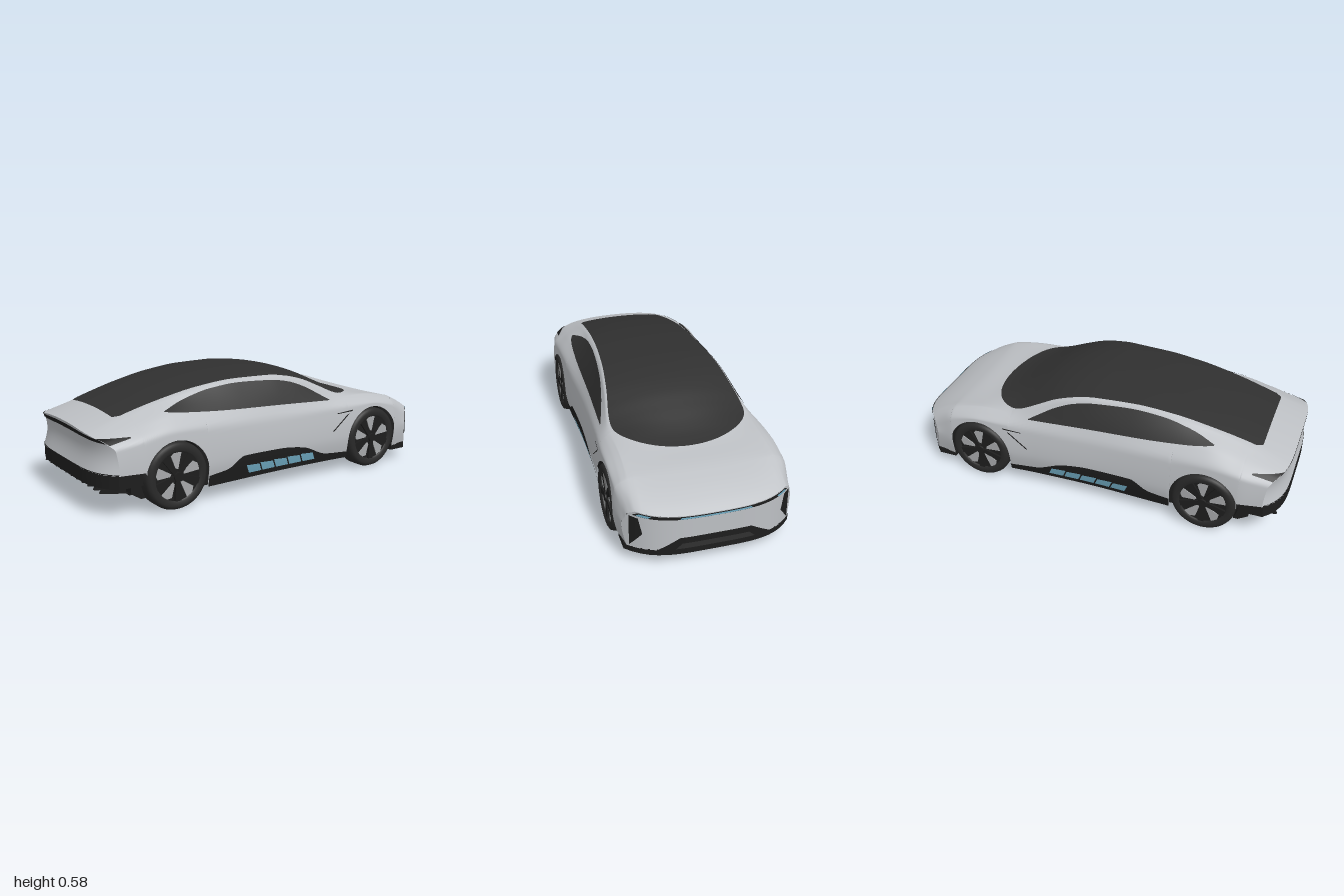
import * as THREE from 'three';

const mat = (name, color) => new THREE.MeshStandardMaterial({ name, color, side: THREE.DoubleSide });
const paint = mat('silver paint', 0xbdc0c4);
const glass = mat('dark glass', 0x303030);
const trim = mat('black trim', 0x1d1d1d);
const rubber = mat('tyre rubber', 0x292929);
const blue = mat('pale blue', 0x70aac2);
const alloy = mat('wheel alloy', 0xa6a8aa);

const lerp = THREE.MathUtils.lerp;

// Smooth interpolation through [x, y] keys without overshoot
function interp(k, x) {
  const n = k.length;
  if (x <= k[0][0]) return k[0][1];
  if (x >= k[n - 1][0]) return k[n - 1][1];
  let i = 0;
  while (x > k[i + 1][0]) i++;
  const slope = j => (k[j + 1][1] - k[j][1]) / (k[j + 1][0] - k[j][0]);
  const tangent = j => {
    if (j === 0) return slope(0);
    if (j === n - 1) return slope(n - 2);
    const a = slope(j - 1), b = slope(j);
    return a * b <= 0 ? 0 : 2 * a * b / (a + b);
  };
  const h = k[i + 1][0] - k[i][0], t = (x - k[i][0]) / h, t2 = t * t, t3 = t2 * t;
  return (2 * t3 - 3 * t2 + 1) * k[i][1] + (t3 - 2 * t2 + t) * h * tangent(i)
    + (3 * t2 - 2 * t3) * k[i + 1][1] + (t3 - t2) * h * tangent(i + 1);
}

// Grid surface from fn(u, v) -> [x, y, z]
function surface(fn, nu, nv) {
  const pos = [], idx = [];
  for (let i = 0; i <= nu; i++) for (let j = 0; j <= nv; j++) pos.push(...fn(i / nu, j / nv));
  for (let i = 0; i < nu; i++) for (let j = 0; j < nv; j++) {
    const a = i * (nv + 1) + j, b = a + nv + 1;
    idx.push(a, b, a + 1, b, b + 1, a + 1);
  }
  const g = new THREE.BufferGeometry();
  g.setAttribute('position', new THREE.Float32BufferAttribute(pos, 3));
  g.setIndex(idx);
  g.computeVertexNormals();
  return g;
}

// Lengthwise curves of the body
const topY = [[-1, .408], [-.85, .452], [-.6, .52], [-.4, .557], [-.2, .575], [0, .579], [.1, .571], [.2, .552], [.3, .52],
  [.4, .475], [.5, .428], [.56, .405], [.63, .387], [.75, .37], [.85, .34], [.95, .295], [1, .265]];
const edgeY = [[-1, .388], [-.85, .435], [-.6, .502], [-.4, .54], [-.2, .557], [0, .555], [.1, .542], [.2, .515], [.3, .47],
  [.4, .425], [.46, .41], [.6, .402], [.75, .378], [.85, .348], [.95, .31], [1, .287]];
const edgeZ = [[-1, .27], [-.85, .25], [-.6, .262], [-.2, .282], [0, .298], [.2, .322], [.4, .35], [.6, .35], [1, .36]];
const beltY = [[-1, .368], [-.8, .405], [-.6, .44], [-.4, .432], [0, .415], [.32, .4], [.46, .393], [.6, .385], [.8, .35], [1, .262]];
const beltZ = [[-1, .35], [-.6, .362], [0, .368], [.32, .378], [.6, .385], [1, .392]];
const shoulderY = [[-1, .33], [-.6, .37], [0, .345], [.6, .355], [.8, .315], [1, .235]];
const midZ = [[-1, .41], [-.77, .431], [-.4, .421], [0, .41], [.3, .417], [.55, .431], [.75, .43], [1, .412]];

const AXLES = [-.615, .618], WHEEL_R = .165, ARCH_R = .174;

// Rounds the nose and tail in plan
function bent(s, y, z) {
  const f = Math.max(0, (s - .78) / .22) * .13 * Math.pow(Math.abs(z) / .42, 4);
  const r = Math.max(0, (-s - .78) / .22) * .12 * Math.pow(Math.abs(z) / .43, 5);
  return [s - f + r, y, z];
}
function bottomY(s) {
  for (const c of AXLES) {
    const d = Math.abs(s - c);
    if (d < ARCH_R) return WHEEL_R + Math.sqrt(ARCH_R * ARCH_R - d * d);
  }
  return s < -.7 ? .215 : .088;
}
function sideZ(s, y) {
  const m = interp(midZ, s);
  return interp([[.05, m - .025], [.2, m], [interp(shoulderY, s), m - .012],
    [interp(beltY, s), interp(beltZ, s)], [interp(edgeY, s), interp(edgeZ, s)]], y);
}
function roofY(s, z) {
  const e = interp(edgeY, s), t = interp(topY, s);
  return e + (t - e) * (1 - Math.pow(Math.min(1, Math.abs(z) / interp(edgeZ, s)), 2.2));
}
// Full section: one flank, roof, other flank
function section(s, v) {
  const b = bottomY(s), e = interp(edgeY, s);
  if (v > 1 / 3 && v < 2 / 3) {
    const z = interp(edgeZ, s) * (v * 6 - 3);
    return bent(s, roofY(s, z), z);
  }
  const left = v > .5, y = lerp(b, e, (left ? 1 - v : v) * 3);
  return bent(s, y, (left ? 1 : -1) * sideZ(s, y));
}
// End face: a runs across, f runs up, d lifts outward
function endFace(s, a, f, d = 0) {
  const b = bottomY(s), y = lerp(b, roofY(s, a * interp(edgeZ, s)), f);
  const p = bent(s, y, a * sideZ(s, lerp(b, interp(edgeY, s), f)));
  p[0] += s * d + (s < 0 ? .02 * Math.sin(Math.PI * f) : 0);
  return p;
}
const onSide = (sg, d) => (s, y) => bent(s, y, sg * (sideZ(s, y) + d));
const onNose = (sg, d) => (z, y) => { const p = bent(1, y, sg * z); p[0] += d; return p; };
// Four-cornered plate laid on a mapped surface
const quad = (map, [a, b, c, d], n = 8) => surface((u, v) => map(
  lerp(lerp(a[0], b[0], u), lerp(d[0], c[0], u), v),
  lerp(lerp(a[1], b[1], u), lerp(d[1], c[1], u), v)), n, n);

// Slab whose outer edge follows the nose or tail in plan
function planSlab(end, x0, halfW, y0, y1) {
  const pts = [new THREE.Vector2(x0, -halfW)];
  for (let i = 0; i <= 24; i++) {
    const z = lerp(-halfW, halfW, i / 24);
    pts.push(new THREE.Vector2(bent(end, 0, z)[0], z));
  }
  pts.push(new THREE.Vector2(x0, halfW));
  const g = new THREE.ExtrudeGeometry(new THREE.Shape(pts), { depth: y1 - y0, bevelEnabled: false });
  return g.rotateX(-Math.PI / 2).translate(0, y0, 0);
}

function makeWheel() {
  const w = new THREE.Group();
  // Tyre, turned about the axle
  const prof = [[.118, .05], [.125, .057], [.145, .059], [.158, .052], [.165, .036], [.165, -.036], [.158, -.052], [.14, -.058], [.118, -.052]];
  const tyre = new THREE.LatheGeometry(prof.map(p => new THREE.Vector2(...p)), 48).rotateX(Math.PI / 2);
  const add = (name, g, m) => { const o = new THREE.Mesh(g, m); o.name = name; w.add(o); };
  add('tyre', tyre, rubber);
  add('rimDisc', new THREE.CylinderGeometry(.122, .122, .085, 40).rotateX(Math.PI / 2), trim);
  add('hub', new THREE.CylinderGeometry(.022, .026, .02, 20).rotateX(Math.PI / 2).translate(0, 0, .05), trim);
  const blade = new THREE.Shape([[.035, -.004], [.118, -.022], [.121, .012], [.1, .034], [.04, .01]].map(p => new THREE.Vector2(...p)));
  const spoke = new THREE.Shape([[.015, -.012], [.12, -.016], [.12, .016], [.015, .012]].map(p => new THREE.Vector2(...p)));
  for (let i = 0; i < 5; i++) {
    const a = i * Math.PI * 2 / 5 + .3;
    add('blade', new THREE.ExtrudeGeometry(blade, { depth: .006, bevelEnabled: false }).translate(0, 0, .041).rotateZ(a), alloy);
    add('spoke', new THREE.ExtrudeGeometry(spoke, { depth: .012, bevelEnabled: false }).translate(0, 0, .041).rotateZ(a + .63), trim);
  }
  return w;
}

export function createModel() {
  const car = new THREE.Group();
  car.name = 'car';
  const add = (name, g, m) => { const o = new THREE.Mesh(g, m); o.name = name; car.add(o); };

  // Body shell, with stations gathered around the wheel arches
  const xs = [];
  for (let i = 0; i <= 90; i++) {
    const x = -1 + i / 45;
    if (AXLES.every(c => Math.abs(x - c) > ARCH_R + .004)) xs.push(x);
  }
  for (const c of AXLES) {
    xs.push(c - ARCH_R - 1e-4, c + ARCH_R + 1e-4);
    for (let i = 0; i <= 28; i++) xs.push(c + ARCH_R * .9999 * Math.cos(Math.PI * i / 28));
  }
  xs.sort((a, b) => a - b);
  add('bodyShell', surface((u, v) => section(xs[Math.round(u * (xs.length - 1))], v), xs.length - 1, 72), paint);
  add('noseFace', surface((u, v) => endFace(1, u * 2 - 1, v), 32, 12), paint);
  add('tailFace', surface((u, v) => endFace(-1, u * 2 - 1, v), 32, 12), paint);

  // Single glass canopy from windscreen to rear window
  add('glassCanopy', surface((u, v) => {
    const s = u < .8 ? lerp(-.85, .4, u / .8) : .4 + .23 * Math.sin((u - .8) / .2 * Math.PI / 2);
    const half = s > .4 ? .343 * Math.sqrt(Math.max(0, 1 - ((s - .4) / .23) ** 2)) : interp(edgeZ, s) - .007 - .02 * Math.max(0, (-.82 - s) / .03);
    const z = half * (v * 2 - 1);
    return bent(s, roofY(s, z) + .005, z);
  }, 100, 32), glass);

  const windowTop = [[-.63, .463], [-.5, .502], [-.35, .533], [-.2, .545], [0, .538], [.1, .522], [.2, .485], [.28, .44], [.34, .405]];
  const windowLow = [[-.63, .46], [-.5, .447], [-.3, .432], [0, .418], [.34, .402]];
  const sillTop = [[-.44, .135], [-.33, .15], [-.23, .203], [0, .2], [.14, .183], [.3, .122], [.445, .112]];
  for (const sg of [1, -1]) {
    const side = d => onSide(sg, d);
    add('sideWindow', surface((u, v) => {
      const s = lerp(-.63, .34, u);
      return side(.006)(s, lerp(interp(windowLow, s), interp(windowTop, s), v));
    }, 48, 12), glass);
    add('sillPanel', surface((u, v) => {
      const s = lerp(-.44, .443, u);
      return side(.005)(s, lerp(.078, interp(sillTop, s), v));
    }, 40, 6), trim);
    // Blue cells set in the sill
    for (let i = 0; i < 5; i++) {
      const x = -.2 + i * .086;
      add('sillCell', quad(side(.009), [[x, .105], [x + .078, .105], [x + .06, .145], [x - .02, .15]], 3), blue);
    }
    // Fender vent lines and wrapped tail light
    add('fenderVent', quad(side(.004), [[.335, .238], [.345, .238], [.45, .322], [.435, .318]]), trim);
    add('fenderSlot', quad(side(.004), [[.37, .328], [.47, .333], [.475, .34], [.37, .332]]), trim);
    add('tailLightSide', quad(side(.005), [[-1, .355], [-.86, .378], [-.86, .382], [-1, .379]]), trim);
    // Corner intake
    add('cornerIntake', quad(onNose(sg, .005), [[.333, .175], [.385, .1], [.385, .262], [.35, .256]]), trim);
    add('headlightTip', surface((u, v) => endFace(1, sg * lerp(.82, .95, u), lerp(.93, .985, v), .008), 6, 2), blue);
  }

  // Front light band and lower grille
  add('lightBand', surface((u, v) => endFace(1, u * 1.94 - .97, lerp(.915, .995, v), .004), 40, 3), trim);
  add('lightBar', surface((u, v) => endFace(1, u * .9 - .45, lerp(.93, .98, v), .007), 20, 2), blue);
  add('lowerGrille', quad(onNose(1, .005), [[-.28, .088], [.28, .088], [.17, .153], [-.17, .153]], 16), trim);
  add('grilleInset', quad(onNose(1, .008), [[-.19, .095], [.19, .095], [.16, .123], [-.16, .123]], 12), glass);
  add('frontSplitter', planSlab(1, .79, .405, .06, .092), trim);

  // Tail light strip, rear bumper and diffuser fins
  add('tailLightStrip', surface((u, v) => endFace(-1, u * 2 - 1, lerp(.82, .94, v), .004), 40, 3), trim);
  add('rearBumper', planSlab(-1, -.79, .405, .15, .22), trim);
  const fin = new THREE.Shape([[-.76, .085], [-.97, .122], [-.94, .17], [-.78, .17]].map(p => new THREE.Vector2(...p)));
  for (let i = 0; i < 11; i++) {
    const z = -.32 + i * .064;
    add('diffuserFin', new THREE.ExtrudeGeometry(fin, { depth: .014, bevelEnabled: false }).translate(0, 0, z - .007), trim);
  }

  // Underbody with wheel wells
  const pts = [[-.84, .11], [-.79, .078]];
  const dip = Math.asin((WHEEL_R - .078) / ARCH_R);
  for (const c of AXLES) for (let i = 0; i <= 24; i++) {
    const a = lerp(Math.PI + dip, -dip, i / 24);
    pts.push([c + ARCH_R * Math.cos(a), WHEEL_R + ARCH_R * Math.sin(a)]);
  }
  pts.push([.84, .078], [.84, .28], [.8, .346], [-.84, .346]);
  const floor = new THREE.Shape(pts.map(p => new THREE.Vector2(...p)));
  add('underbody', new THREE.ExtrudeGeometry(floor, { depth: .76, bevelEnabled: false }).translate(0, 0, -.38), trim);
  add('floorPan', new THREE.BoxGeometry(1.62, .2, .6).translate(0, .176, 0), trim);

  // Wheels
  for (const x of AXLES) for (const sg of [1, -1]) {
    const w = makeWheel();
    w.name = x > 0 ? 'frontWheel' : 'rearWheel';
    w.position.set(x, WHEEL_R, sg * .37);
    if (sg < 0) w.rotation.y = Math.PI;
    car.add(w);
  }
  return car;
}
